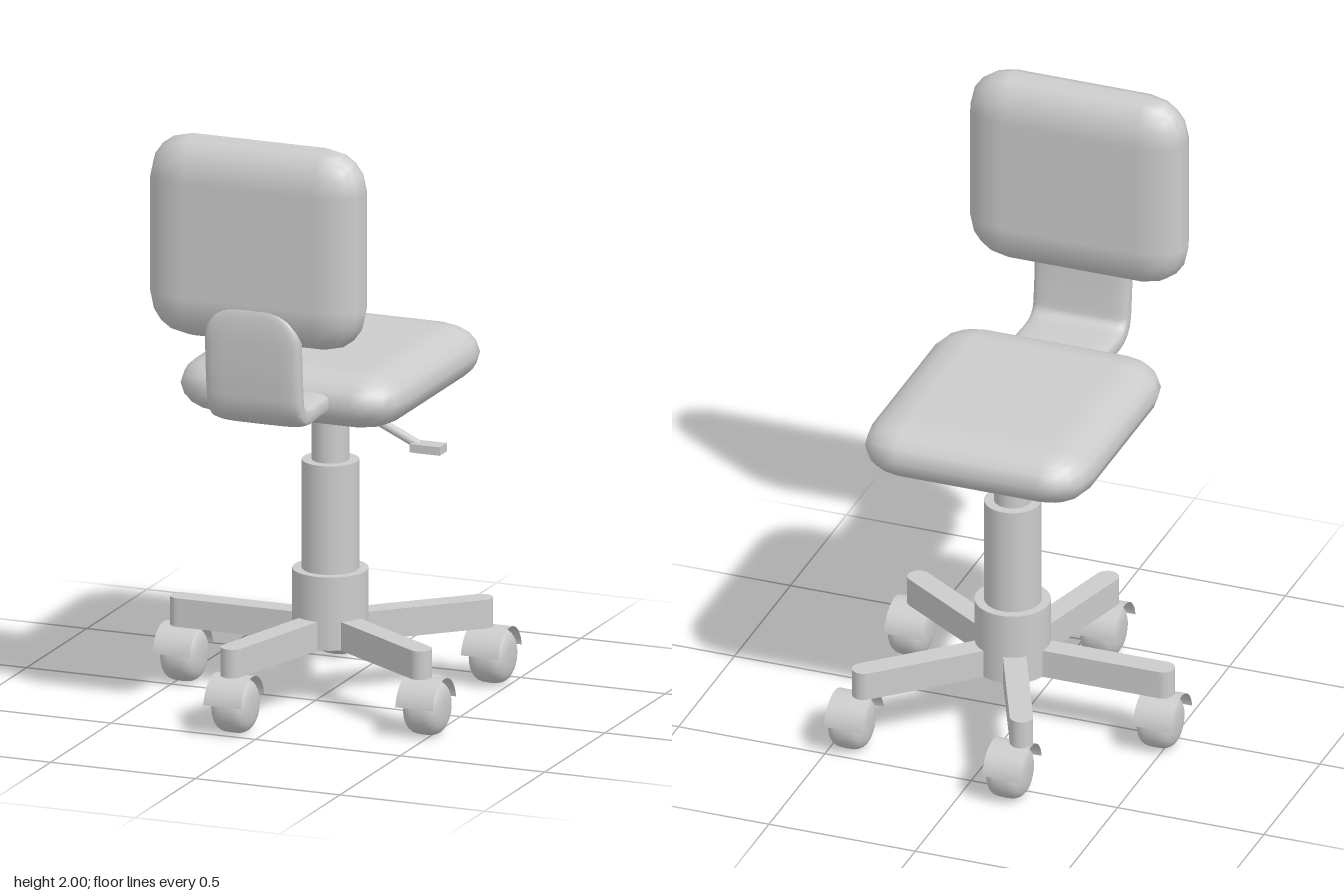
import * as THREE from 'three';
import { RoundedBoxGeometry } from 'three/addons/geometries/RoundedBoxGeometry.js';

const CX = 0.028, CZ = -0.055; // axis of the column

export function createModel() {
  const chair = new THREE.Group();
  chair.name = 'officeChair';
  const mat = new THREE.MeshStandardMaterial({ color: 0xcccccc });
  const thin = new THREE.MeshStandardMaterial({ color: 0xcccccc, side: THREE.DoubleSide });

  const add = (name, geo, x = 0, y = 0, z = 0, parent = chair, material = mat) => {
    const mesh = new THREE.Mesh(geo, material);
    mesh.name = name;
    mesh.position.set(x, y, z);
    parent.add(mesh);
    return mesh;
  };

  // Cushions: rounded boxes flattened so the edges become elliptical
  const r = 0.145;
  const seat = new RoundedBoxGeometry(0.775, 2 * r, 0.86, 2, r);
  seat.scale(1, 0.19 / (2 * r), 1);
  add('seat', seat, 0.0275, 1.095, -0.055);
  const back = new RoundedBoxGeometry(0.745, 0.67, 2 * r, 2, r);
  back.scale(1, 1, 0.19 / (2 * r));
  add('backrest', back, 0.0275, 1.665, 0.54);

  add('backrestBracket', bracketGeometry(), 0.0375, 0, 0);

  // Telescopic column, stepped down to the hub
  for (const [name, radius, y0, y1] of [
    ['upperColumn', 0.06, 0.78, 1.02],
    ['middleColumn', 0.092, 0.42, 0.79],
    ['hub', 0.122, 0.187, 0.43],
  ]) {
    add(name, new THREE.CylinderGeometry(radius, radius, y1 - y0, 32), CX, (y0 + y1) / 2, CZ);
  }

  // Height lever with a flat paddle
  const rod = new THREE.LineCurve3(new THREE.Vector3(0.04, 1.005, CZ), new THREE.Vector3(0.335, 0.868, CZ));
  add('leverRod', new THREE.TubeGeometry(rod, 1, 0.015, 12), 0, 0, 0);
  add('leverPaddle', new THREE.BoxGeometry(0.105, 0.028, 0.058), 0.366, 0.863, CZ);

  // Five arms with round tips
  const w = 0.0375, len = 0.514;
  const outline = new THREE.Shape();
  outline.moveTo(0, -w);
  outline.lineTo(len, -w);
  outline.absarc(len, 0, w, -Math.PI / 2, Math.PI / 2, false);
  outline.lineTo(0, w);
  const armGeo = new THREE.ExtrudeGeometry(outline, { depth: 0.095, bevelEnabled: false, curveSegments: 10 });
  armGeo.rotateX(-Math.PI / 2);

  // Caster wheel with bulging sides, under an open half-round hood
  const profile = [];
  for (let i = 0; i <= 16; i++) {
    const a = (i / 16) * Math.PI;
    const c = Math.cos(a), s = Math.max(Math.sin(a), 0);
    profile.push(new THREE.Vector2(0.09 * s ** 0.65, -0.066 * Math.sign(c) * Math.abs(c) ** 0.65));
  }
  const wheelGeo = new THREE.LatheGeometry(profile, 28);
  wheelGeo.rotateZ(Math.PI / 2);
  const hoodGeo = new THREE.CylinderGeometry(0.098, 0.098, 0.13, 24, 1, true, Math.PI * 0.05, Math.PI * 0.9);
  hoodGeo.rotateZ(Math.PI / 2);

  // Arm angle in degrees, then caster x and z
  for (const [deg, x, z] of [
    [180, -0.485, -0.06],
    [114, -0.155, -0.542],
    [43, 0.433, -0.418],
    [-33.4, 0.475, 0.228],
    [-105, -0.1, 0.44],
  ]) {
    const arm = add('baseArm', armGeo, CX, 0.186, CZ);
    arm.rotation.y = THREE.MathUtils.degToRad(deg);
    const caster = new THREE.Group();
    caster.name = 'caster';
    caster.position.set(x, 0.09, z);
    chair.add(caster);
    add('wheel', wheelGeo, 0.006, 0, 0, caster);
    add('wheelHood', hoodGeo, 0, 0, 0, caster, thin);
  }
  return chair;
}

// L-shaped plate swept from under the seat up behind the backrest, with a rounded top
function bracketGeometry() {
  const path = new THREE.CatmullRomCurve3([
    [1.097, 0.25], [1.097, 0.42], [1.097, 0.54], [1.125, 0.582],
    [1.2, 0.596], [1.32, 0.605], [1.465, 0.61],
  ].map(([y, z]) => new THREE.Vector3(0, y, z)));
  const total = path.getLength();
  const rows = 36, cols = 28, corner = 0.11, half = 0.1625;
  const pos = [], index = [];
  const soft = (v, p) => Math.sign(v) * Math.abs(v) ** p;
  for (let i = 0; i <= rows; i++) {
    const u = Math.sin((i / rows) * Math.PI / 2);
    const p = path.getPointAt(u), t = path.getTangentAt(u);
    const k = Math.min(((1 - u) * total) / corner, 1);
    const round = Math.sqrt(Math.max(0, 1 - (1 - k) ** 2));
    const width = half - corner + corner * round;
    const thick = 0.018 + 0.017 * round;
    for (let j = 0; j < cols; j++) {
      const a = (j / cols) * Math.PI * 2;
      const n = thick * soft(Math.sin(a), 0.5);
      pos.push(width * soft(Math.cos(a), 0.4), p.y + t.z * n, p.z - t.y * n);
    }
  }
  for (let i = 0; i < rows; i++) {
    for (let j = 0; j < cols; j++) {
      const a = i * cols + j, b = i * cols + (j + 1) % cols;
      index.push(a, b, b + cols, a, b + cols, a + cols);
    }
  }
  // Cap over the top end
  const end = path.getPointAt(1), centre = pos.length / 3;
  pos.push(0, end.y, end.z);
  for (let j = 0; j < cols; j++) index.push(centre, rows * cols + j, rows * cols + (j + 1) % cols);
  const geo = new THREE.BufferGeometry();
  geo.setAttribute('position', new THREE.Float32BufferAttribute(pos, 3));
  geo.setIndex(index);
  geo.computeVertexNormals();
  return geo;
}
